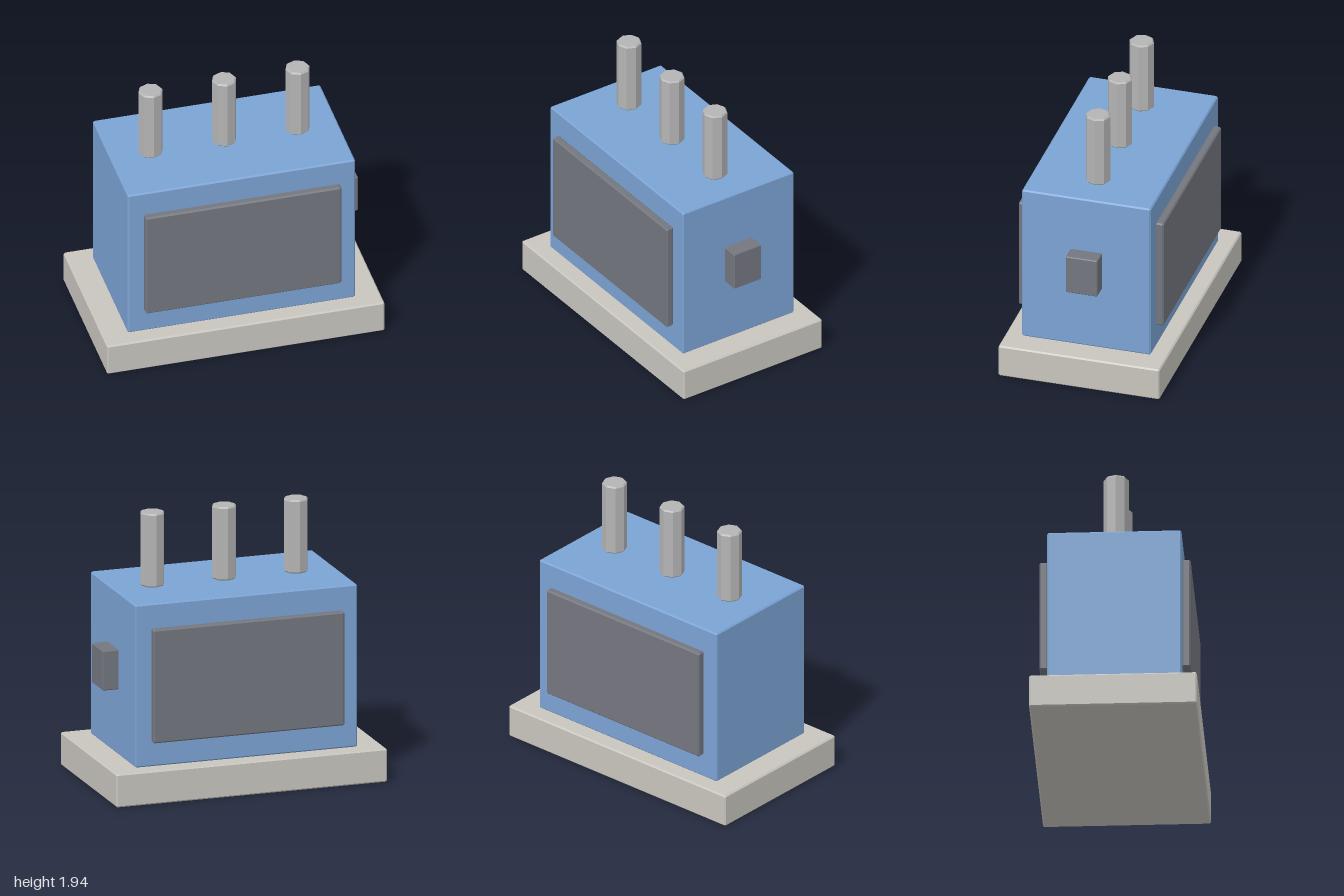
import * as THREE from 'three';
import { ConvexGeometry } from 'three/addons/geometries/ConvexGeometry.js';

const BEVEL = 0.01;

const material = (color) => new THREE.MeshStandardMaterial({ color, flatShading: true });

// Box with chamfered edges, given by its two opposite corners
function bevelBox(name, min, max, mat, b = BEVEL) {
  const half = [0, 1, 2].map((i) => (max[i] - min[i]) / 2);
  const points = [];
  for (const sx of [-1, 1]) for (const sy of [-1, 1]) for (const sz of [-1, 1]) {
    for (let axis = 0; axis < 3; axis++) {
      // the face along this axis keeps its full reach, the other two are inset
      const p = half.map((h, i) => (i === axis ? h : h - b));
      points.push(new THREE.Vector3(sx * p[0], sy * p[1], sz * p[2]));
    }
  }
  const mesh = new THREE.Mesh(new ConvexGeometry(points), mat);
  mesh.position.set(...[0, 1, 2].map((i) => (min[i] + max[i]) / 2));
  mesh.name = name;
  return mesh;
}

// Eight-sided post with chamfered ends
function bevelPost(name, radius, height, mat) {
  const profile = [
    [0, 0], [radius - BEVEL, 0], [radius, BEVEL],
    [radius, height - BEVEL], [radius - BEVEL, height], [0, height],
  ].map(([x, y]) => new THREE.Vector2(x, y));
  const mesh = new THREE.Mesh(new THREE.LatheGeometry(profile, 8), mat);
  mesh.name = name;
  return mesh;
}

export function createModel() {
  const model = new THREE.Group();
  model.name = 'transformer';

  const concrete = material(0xc8c5be);
  const blue = material(0x7ba3d4);
  const dark = material(0x74767f);
  const metal = material(0xb4b4b4);

  // Plinth and main cabinet
  model.add(bevelBox('base', [-1, 0, -0.585], [1, 0.24, 0.585], concrete));
  model.add(bevelBox('cabinet', [-0.82, 0.24, -0.468], [0.82, 1.415, 0.468], blue));

  // Panels on front and back
  model.add(bevelBox('frontPanel', [-0.705, 0.42, 0.468], [0.705, 1.24, 0.527], dark));
  model.add(bevelBox('backPanel', [-0.705, 0.42, -0.527], [0.705, 1.24, -0.468], dark));

  // Control box on the left side, set into the cabinet
  model.add(bevelBox('controlBox', [0.7, 0.715, -0.115], [0.935, 1.002, 0.115], dark, 0.006));

  // Row of terminals on top
  const terminals = new THREE.Group();
  terminals.name = 'terminals';
  for (const x of [-0.53, 0, 0.53]) {
    const post = bevelPost('terminal', 0.088, 0.53, metal);
    post.position.set(x, 1.415, 0);
    terminals.add(post);
  }
  model.add(terminals);

  return model;
}
